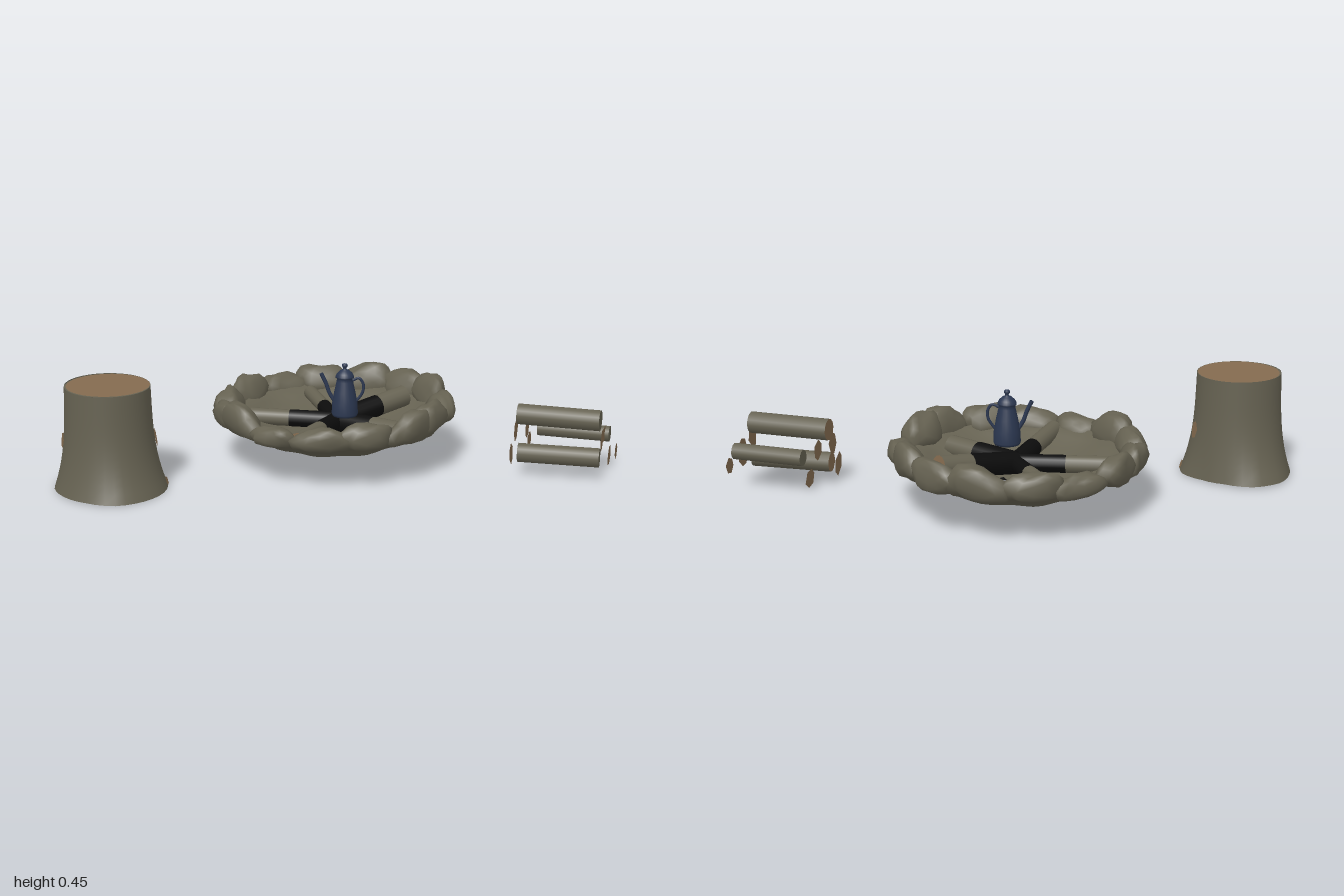
import * as THREE from 'three';
import { mergeVertices } from 'three/addons/utils/BufferGeometryUtils.js';

const mat = (name, color, side = THREE.FrontSide) => {
  const m = new THREE.MeshStandardMaterial({ color, side });
  m.name = name;
  return m;
};
const V = (x, y, z) => new THREE.Vector3(x, y, z);
const UP = V(0, 1, 0);

// Repeatable random numbers
let seed = 7;
const rnd = () => (seed = (seed * 16807) % 2147483647) / 2147483647;

export function createModel() {
  seed = 7;
  const root = new THREE.Group();
  const stone = mat('greyBrown', 0x666252, THREE.DoubleSide);
  const wood = mat('cutWood', 0x846b4f, THREE.DoubleSide);
  const char = mat('charcoal', 0x0c0c0c);
  const enamel = mat('blueEnamel', 0x2b3750, THREE.DoubleSide);

  const add = (parent, name, geo, material, pos) => {
    const m = new THREE.Mesh(geo, material);
    m.name = name;
    if (pos) m.position.copy(pos);
    parent.add(m);
    return m;
  };
  const group = (name, x = 0, y = 0, z = 0) => {
    const g = new THREE.Group();
    g.name = name;
    g.position.set(x, y, z);
    root.add(g);
    return g;
  };
  // Cylinder running from a to b; materials are side, end at b, end at a
  const rod = (parent, name, a, b, r, mats, sides = 14) => {
    const d = b.clone().sub(a);
    const m = add(parent, name, new THREE.CylinderGeometry(r, r, d.length(), sides), mats,
      a.clone().add(b).multiplyScalar(0.5));
    m.quaternion.setFromUnitVectors(UP, d.normalize());
    return m;
  };
  // Move the vertices of a geometry by a rule, with welded smooth normals
  const warp = (geo, rule) => {
    geo.deleteAttribute('uv');
    geo.deleteAttribute('normal');
    const g = mergeVertices(geo, 1e-4), p = g.attributes.position, v = V(0, 0, 0);
    for (let i = 0; i < p.count; i++) {
      rule(v.fromBufferAttribute(p, i));
      p.setXYZ(i, v.x, v.y, v.z);
    }
    g.computeVertexNormals();
    return g;
  };
  // Thin irregular chip of bare wood, facing +z
  const chip = (w, h) => new THREE.ShapeGeometry(new THREE.Shape([
    [-0.2, -0.5], [0.25, -0.4], [0.5, 0.1], [0.1, 0.5], [-0.35, 0.35], [-0.5, -0.1],
  ].map(([x, y]) => new THREE.Vector2(x * w, y * h))));

  // ---- Tree stump: round top flaring to an uneven foot, open below
  const stump = group('stump', -0.51, 0, 0.775);
  const foot = [0.245, 0.25, 0.226, 0.225, 0.232, 0.232, 0.25, 0.245, 0.208, 0.207, 0.236, 0.24];
  const footRadius = (a) => {
    const t = ((a / (Math.PI * 2) + 1) % 1) * 12, i = Math.floor(t) % 12;
    return THREE.MathUtils.lerp(foot[i], foot[(i + 1) % 12], t - Math.floor(t));
  };
  const stumpRadius = (a, y) => {
    const flare = Math.pow(Math.max(0, 1 - y / 0.37), 3);
    return THREE.MathUtils.lerp(0.188 - 0.03 * y, footRadius(a), flare);
  };
  add(stump, 'stumpBark', warp(new THREE.CylinderGeometry(1, 1, 1, 36, 12, true), (v) => {
    const a = Math.atan2(v.z, v.x), t = v.y + 0.5;
    const y = 0.005 + t * 0.431, r = stumpRadius(a, y);
    v.set(Math.cos(a) * r, y - 0.004 * Math.cos(a), Math.sin(a) * r);
  }), stone);
  const face = add(stump, 'stumpTop', new THREE.CircleGeometry(0.17, 36), wood, V(0, 0.436, -0.003));
  const rim = add(stump, 'stumpBarkRim', new THREE.RingGeometry(0.16, 0.1749, 36), stone, V(0, 0.435, 0));
  [face, rim].forEach((m) => m.rotation.set(-Math.PI / 2, 0.009, 0));
  // Cut knots on the bark: angle, height, width, tall
  [[1.98, 0.22, 0.055, 0.068], [-1.15, 0.2, 0.055, 0.075], [-0.85, 0.03, 0.045, 0.04]].forEach(([a, y, w, h]) => {
    const r = stumpRadius(a, y) + 0.006;
    const k = add(stump, 'knot', chip(w, h), wood, V(Math.cos(a) * r, y, Math.sin(a) * r));
    const tilt = Math.atan2(stumpRadius(a, y - 0.02) - stumpRadius(a, y + 0.02), 0.04);
    k.rotation.set(-tilt, Math.PI / 2 - a, 0, 'YXZ');
  });

  // ---- Fire pit
  const pit = group('firePit', -0.22, 0, -0.19);
  const profile = [[0.001, 0.055], [0.12, 0.058], [0.22, 0.073], [0.31, 0.1], [0.39, 0.145], [0.44, 0.18],
    [0.455, 0.196], [0.42, 0.21], [0.37, 0.182], [0.3, 0.153], [0.2, 0.122], [0.1, 0.108], [0.001, 0.105]];
  add(pit, 'earthBowl', warp(new THREE.LatheGeometry(profile.map(([r, y]) => new THREE.Vector2(r, y)), 48), (v) => {
    v.y += 0.005 * Math.sin(v.x * 23 + 1) * Math.cos(v.z * 27);
    const k = 1 + 0.02 * Math.sin(Math.atan2(v.z, v.x) * 9);
    v.x *= k;
    v.z *= k;
  }), stone);

  // Ring of rough peaked stones, one for each top height
  const tops = [0.31, 0.29, 0.27, 0.255, 0.31, 0.28, 0.29, 0.3, 0.27, 0.29, 0.31, 0.3, 0.32, 0.28, 0.315];
  tops.forEach((top, i) => {
    const a = (i + (rnd() - 0.5) * 0.3) / tops.length * Math.PI * 2;
    const long = 0.105 + rnd() * 0.025, tall = (top - 0.165) / 2, deep = 0.05 + rnd() * 0.014;
    const p1 = rnd() * 6, p2 = rnd() * 6, skew = (rnd() - 0.5) * 0.6;
    const box = (t) => Math.sign(t) * Math.pow(Math.abs(t), 0.8);
    const geo = warp(new THREE.IcosahedronGeometry(1, 2), (v) => {
      const n = 1 + 0.13 * Math.sin(v.x * 3.1 + p1) * Math.cos(v.y * 2.7 + p2) + 0.1 * Math.sin(v.z * 5 + v.x * 4 + p2);
      v.set(box(v.x) * n, box(v.y) * n, box(v.z) * n);
      const taper = 1 - 0.3 * Math.max(0, v.y);
      v.x = v.x * taper + skew * Math.max(0, v.y);
      v.z = v.z * taper + 0.2 * v.y;
      // Flat underside resting on the rim
      v.set(v.x * long, Math.max(v.y * tall, -tall * 0.8), v.z * deep);
    });
    geo.computeBoundingBox();
    const box3 = geo.boundingBox;
    const r = 0.513 - box3.max.z + rnd() * 0.008;
    const s = add(pit, 'ringStone', geo, stone, V(Math.cos(a) * r, top - box3.max.y, Math.sin(a) * r));
    s.rotation.y = Math.PI / 2 - a;
  });

  // Half burnt logs meeting at the middle: outer end x, y, z, radius, burnt share
  const fire = group('campfireLogs');
  const hub = V(-0.2, 0.168, -0.19);
  [[-0.165, 0.22, -0.55, 0.046, 0.6], [0.12, 0.175, -0.26, 0.045, 0.58], [-0.02, 0.19, 0.18, 0.037, 0.45],
    [-0.48, 0.175, 0.06, 0.036, 0.55], [-0.545, 0.195, -0.33, 0.031, 0.48]].forEach(([x, y, z, r, share]) => {
    const end = V(x, y, z), mid = hub.clone().lerp(end, share);
    rod(fire, 'charredLogHalf', hub, mid, r * 1.02, char);
    rod(fire, 'logHalf', mid, end, r, [stone, wood, char]);
  });
  // Loose coals below the logs
  for (let i = 0; i < 10; i++) {
    const a = 1.8 + i * 0.28 + rnd() * 0.2, r = 0.06 + rnd() * 0.07;
    const c = add(fire, 'coal', new THREE.DodecahedronGeometry(0.011 + rnd() * 0.009), char,
      V(-0.2 + Math.cos(a) * r, 0.118, -0.18 + Math.sin(a) * r));
    c.rotation.set(rnd() * 3, rnd() * 3, 0);
  }

  // ---- Kettle standing on the logs; local +x points to the spout
  const kettle = group('kettle', -0.11, 0.233, -0.155);
  kettle.rotation.y = -Math.PI * 0.75;
  const pot = [[0, -0.014], [0.052, -0.014], [0.056, -0.004], [0.054, 0.04], [0.045, 0.09], [0.035, 0.135],
    [0.033, 0.148], [0.039, 0.152], [0.039, 0.158], [0.033, 0.17], [0.02, 0.183], [0.008, 0.188], [0.007, 0.194],
    [0.013, 0.202], [0.011, 0.21], [0, 0.214]];
  add(kettle, 'kettleBody', new THREE.LatheGeometry(pot.map(([r, y]) => new THREE.Vector2(r, y)), 24), enamel);
  const tube = (name, pts, r) => add(kettle, name, new THREE.TubeGeometry(
    new THREE.CatmullRomCurve3(pts.map(([x, y]) => V(x, y, 0))), 16, r, 8), enamel);
  tube('spout', [[0.045, 0.05], [0.066, 0.085], [0.08, 0.125], [0.1, 0.168]], 0.0085);
  tube('handle', [[-0.034, 0.14], [-0.06, 0.15], [-0.078, 0.125], [-0.076, 0.09], [-0.05, 0.05]], 0.006);

  // ---- Stacked firewood: bark, far end, near end
  const pile = group('firewood');
  [[V(0.43, 0.25, -0.652), V(0.725, 0.25, -0.835), 0.045, wood],
    [V(0.42, 0.16, -0.79), V(0.68, 0.16, -0.95), 0.034, stone],
    [V(0.465, 0.095, -0.62), V(0.74, 0.095, -0.82), 0.041, wood]].forEach(([a, b, r, nearEnd]) =>
    rod(pile, 'firewoodLog', a, b, r, [stone, stone, nearEnd], 12));
  // Bare wood chips standing around the log ends: x, y, z, width, height
  [[0.36, 0.09, -0.8, 0.09, 0.075], [0.44, 0.185, -0.63, 0.08, 0.095], [0.445, 0.09, -0.6, 0.07, 0.1],
    [0.75, 0.175, -0.82, 0.07, 0.1], [0.685, 0.17, -0.91, 0.08, 0.07], [0.43, 0.175, -0.71, 0.08, 0.085],
    [0.75, 0.1, -0.87, 0.08, 0.09], [0.71, 0.09, -0.96, 0.07, 0.07]].forEach(([x, y, z, w, h], i) => {
    const c = add(pile, 'woodChip', chip(w, h), wood, V(x, y, z));
    c.rotation.set(0, 2.13, (i % 3 - 1) * 0.4);
  });
  return root;
}
